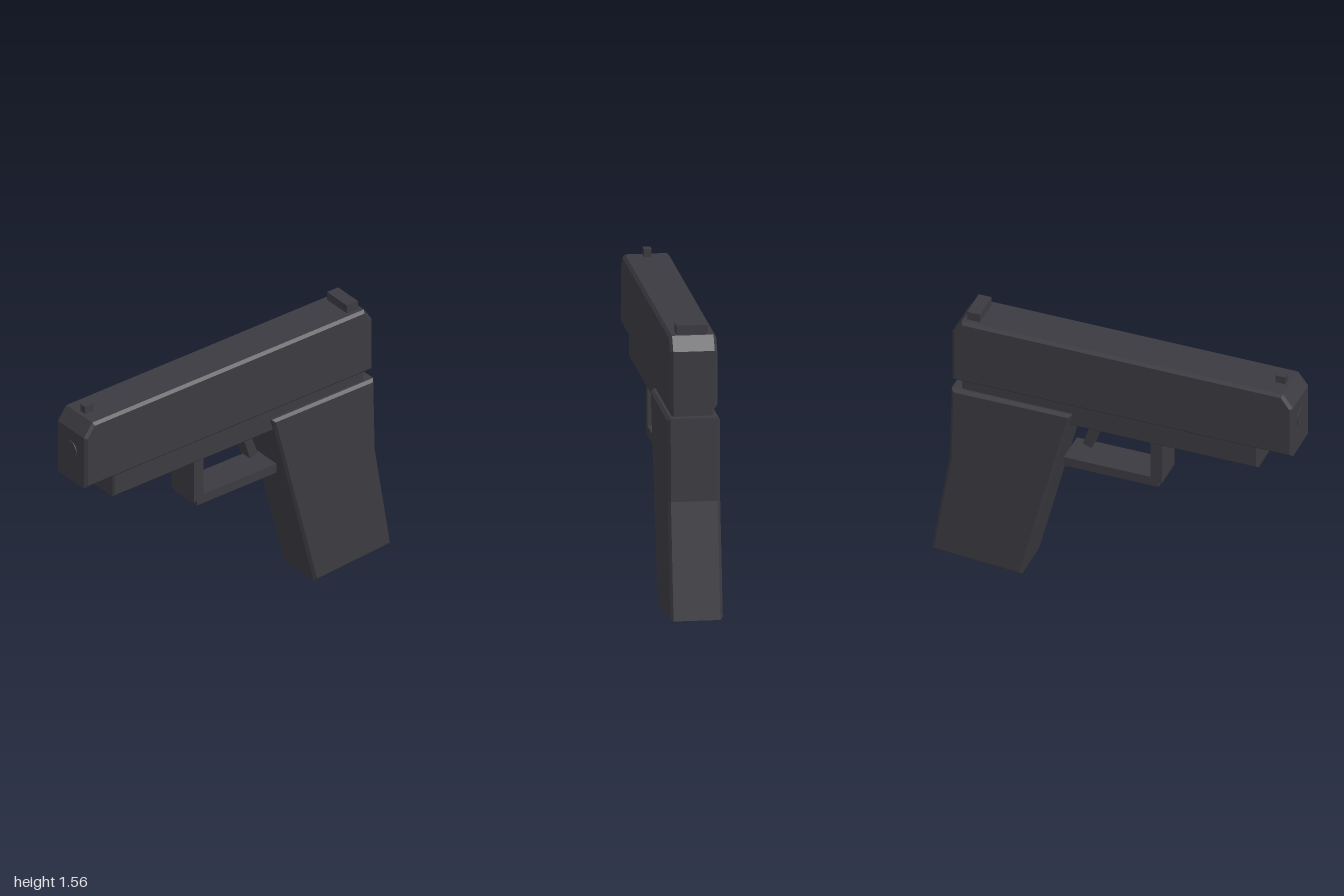
import * as THREE from 'three';

export function createModel() {
  const model = new THREE.Group();
  const gunmetal = new THREE.MeshStandardMaterial({ color: 0x3a3a40 });
  gunmetal.name = 'dark gunmetal';

  const add = (name, geometry) => {
    const mesh = new THREE.Mesh(geometry, gunmetal);
    mesh.name = name;
    model.add(mesh);
    return mesh;
  };

  // Side profile of [z, y] points, extruded across x with chamfered edges
  const profile = (name, points, halfWidth, bevel) => {
    const shape = new THREE.Shape(points.map(([z, y]) => new THREE.Vector2(z, y)));
    const depth = 2 * (halfWidth - bevel);
    const geometry = new THREE.ExtrudeGeometry(shape, {
      depth, bevelEnabled: bevel > 0, bevelSize: bevel, bevelThickness: bevel,
      bevelOffset: -bevel, bevelSegments: 1,
    });
    geometry.translate(0, 0, -depth / 2).rotateY(-Math.PI / 2);
    return add(name, geometry);
  };

  // Box given by its half width and its z and y ranges
  const block = (name, halfWidth, z0, z1, y0, y1) => {
    const geometry = new THREE.BoxGeometry(2 * halfWidth, y1 - y0, z1 - z0);
    geometry.translate(0, (y0 + y1) / 2, (z0 + z1) / 2);
    return add(name, geometry);
  };

  // Upper body with sloped top corners
  profile('slide', [
    [0.995, 1.14], [0.995, 1.445], [0.94, 1.52],
    [-0.84, 1.52], [-0.89, 1.445], [-0.89, 1.14],
  ], 0.123, 0.015);

  // Lower body
  profile('frame', [[0.8, 1.01], [0.8, 1.16], [-0.84, 1.16], [-0.84, 1.01]], 0.109, 0.01);

  // Raked handle
  profile('grip', [
    [-0.225, 1.09], [-0.89, 1.09], [-0.9, 0.65], [-1, 0.04], [-0.5, 0.003],
  ], 0.137, 0.015);

  // Muzzle end, just proud of the slide
  const muzzle = new THREE.CylinderGeometry(0.052, 0.052, 0.1, 24);
  muzzle.rotateX(Math.PI / 2).translate(0, 1.325, 0.95);
  add('muzzle', muzzle);

  // Trigger and its guard
  block('guardFront', 0.093, 0.2, 0.262, 0.762, 1.03);
  block('guardBottom', 0.093, -0.28, 0.243, 0.735, 0.788);
  profile('trigger', [
    [-0.085, 1.04], [-0.135, 1.04], [-0.197, 0.862], [-0.148, 0.845],
  ], 0.04, 0);

  // Sights
  block('frontSight', 0.02, 0.863, 0.918, 1.5, 1.563);
  block('rearSight', 0.083, -0.82, -0.748, 1.5, 1.568);

  return model;
}
